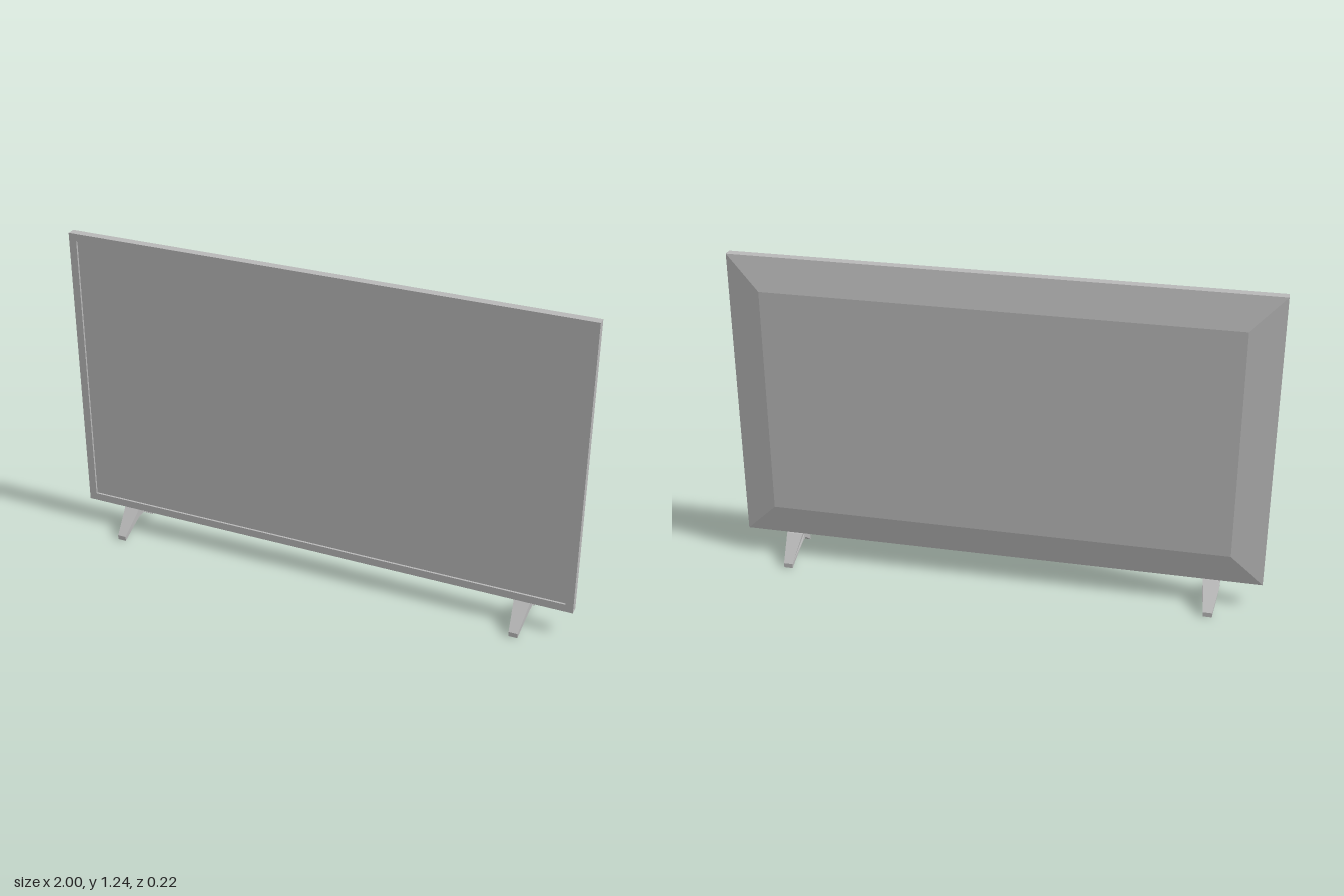
import * as THREE from 'three';

const W = 2, BOTTOM = 0.1, TOP = 1.24;
const H = TOP - BOTTOM, MID = (TOP + BOTTOM) / 2;
const FRONT = 0.023, SEAM = -0.01, BACK = -0.041;
const BEZEL = 0.03, RECESS = 0.008, INSET = 0.125;

// Rectangle outline centred on the origin
function rect(path, w, h) {
  return path.moveTo(-w / 2, -h / 2).lineTo(w / 2, -h / 2).lineTo(w / 2, h / 2).lineTo(-w / 2, h / 2).closePath();
}

// Shallow cover whose rear face is inset on all four sides
function coverGeometry() {
  const geo = new THREE.BoxGeometry(W, H, SEAM - BACK);
  const p = geo.attributes.position;
  for (let i = 0; i < p.count; i++) {
    if (p.getZ(i) < 0) {
      p.setX(i, p.getX(i) - Math.sign(p.getX(i)) * INSET);
      p.setY(i, p.getY(i) - Math.sign(p.getY(i)) * INSET);
    }
  }
  const flat = geo.toNonIndexed();
  flat.computeVertexNormals();
  return flat;
}

// Splayed foot: inverted V side profile, narrowing towards both toes
function footGeometry() {
  const half = [[0.018, 0.1], [0.111, 0.018], [0.111, 0], [0.018, 0.067]];
  const outline = [...half, ...half.map(([z, y]) => [-z, y]).reverse()];
  const shape = new THREE.Shape(outline.map(([z, y]) => new THREE.Vector2(-z, y)));
  const geo = new THREE.ExtrudeGeometry(shape, { depth: 2, bevelEnabled: false });
  geo.translate(0, 0, -1).rotateY(Math.PI / 2);
  const p = geo.attributes.position;
  for (let i = 0; i < p.count; i++) {
    p.setX(i, p.getX(i) * (Math.abs(p.getZ(i)) > 0.05 ? 0.017 : 0.031));
  }
  geo.computeVertexNormals();
  return geo;
}

export function createModel() {
  const model = new THREE.Group();
  model.name = 'television';
  const grey = new THREE.MeshStandardMaterial({ color: 0xb8b8b8 });
  grey.name = 'light grey';

  const add = (name, geo, x, y, z) => {
    const mesh = new THREE.Mesh(geo, grey);
    mesh.name = name;
    mesh.position.set(x, y, z);
    model.add(mesh);
  };

  // Bezel frame around the recessed screen
  const frame = rect(new THREE.Shape(), W, H);
  frame.holes.push(rect(new THREE.Path(), W - 2 * BEZEL, H - 2 * BEZEL));
  add('frame', new THREE.ExtrudeGeometry(frame, { depth: FRONT - SEAM, bevelEnabled: false }), 0, MID, SEAM);
  add('screen', new THREE.PlaneGeometry(W - 2 * BEZEL, H - 2 * BEZEL), 0, MID, FRONT - RECESS);

  // Bevelled back
  add('backCover', coverGeometry(), 0, MID, (SEAM + BACK) / 2);

  // Pair of feet
  const foot = footGeometry();
  add('leftFoot', foot, 0.81, 0, 0);
  add('rightFoot', foot, -0.81, 0, 0);

  return model;
}
